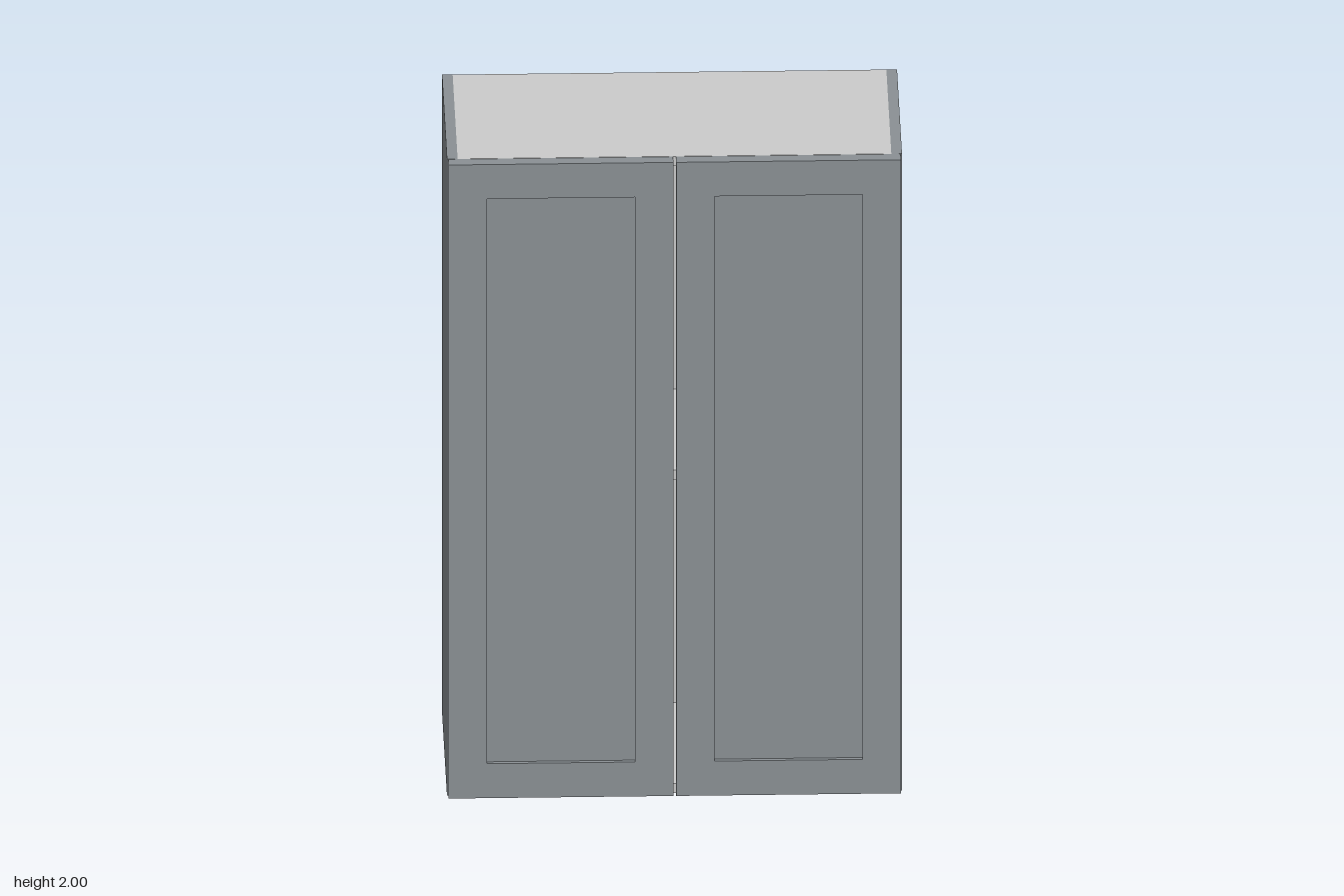
import * as THREE from 'three';

const paint = new THREE.MeshStandardMaterial({ color: 0x8b9195 });
const board = new THREE.MeshStandardMaterial({ color: 0xcccccc });

// Box given by its minimum and maximum corners
function box(name, material, [x0, y0, z0], [x1, y1, z1]) {
  const mesh = new THREE.Mesh(new THREE.BoxGeometry(x1 - x0, y1 - y0, z1 - z0), material);
  mesh.position.set((x0 + x1) / 2, (y0 + y1) / 2, (z0 + z1) / 2);
  mesh.name = name;
  return mesh;
}

function rectangle(path, x0, y0, x1, y1) {
  return path.moveTo(x0, y0).lineTo(x1, y0).lineTo(x1, y1).lineTo(x0, y1).closePath();
}

// Framed door with a recessed centre panel, standing on its lower left corner
function createDoor(name, width, height, depth, rail) {
  const door = new THREE.Group();
  door.name = name;
  const outline = rectangle(new THREE.Shape(), 0, 0, width, height);
  outline.holes.push(rectangle(new THREE.Path(), rail, rail, width - rail, height - rail));
  const frame = new THREE.Mesh(
    new THREE.ExtrudeGeometry(outline, { depth, bevelEnabled: false }), paint);
  frame.name = 'doorFrame';
  door.add(frame, box('doorPanel', paint, [rail, rail, 0], [width - rail, height - rail, depth - 0.012]));
  return door;
}

export function createModel() {
  const cabinet = new THREE.Group();
  cabinet.name = 'wallCabinet';
  const W = 0.64, inner = 0.61, t = 0.03, back = -0.285, front = 0.247;

  // Side panels
  cabinet.add(box('leftSide', paint, [inner, 0, back], [W, 2, front]));
  cabinet.add(box('rightSide', paint, [-W, 0, back], [-inner, 2, front]));

  // Top, bottom and middle shelf
  for (const [name, y] of [['bottom', 0], ['shelf', 0.985], ['top', 2 - t]]) {
    const z0 = name === 'shelf' ? back + 0.02 : back;
    cabinet.add(box(name, board, [-inner, y, z0], [inner, y + t, front]));
  }

  // Back panel between top and bottom
  cabinet.add(box('backPanel', board, [-inner, t, back], [inner, 2 - t, back + 0.02]));

  // Pair of doors with a narrow gap between them
  for (const [name, x] of [['leftDoor', 0.004], ['rightDoor', -0.636]]) {
    const door = createDoor(name, 0.632, 1.99, 0.036, 0.108);
    door.position.set(x, 0.01, 0.249);
    cabinet.add(door);
  }
  return cabinet;
}
